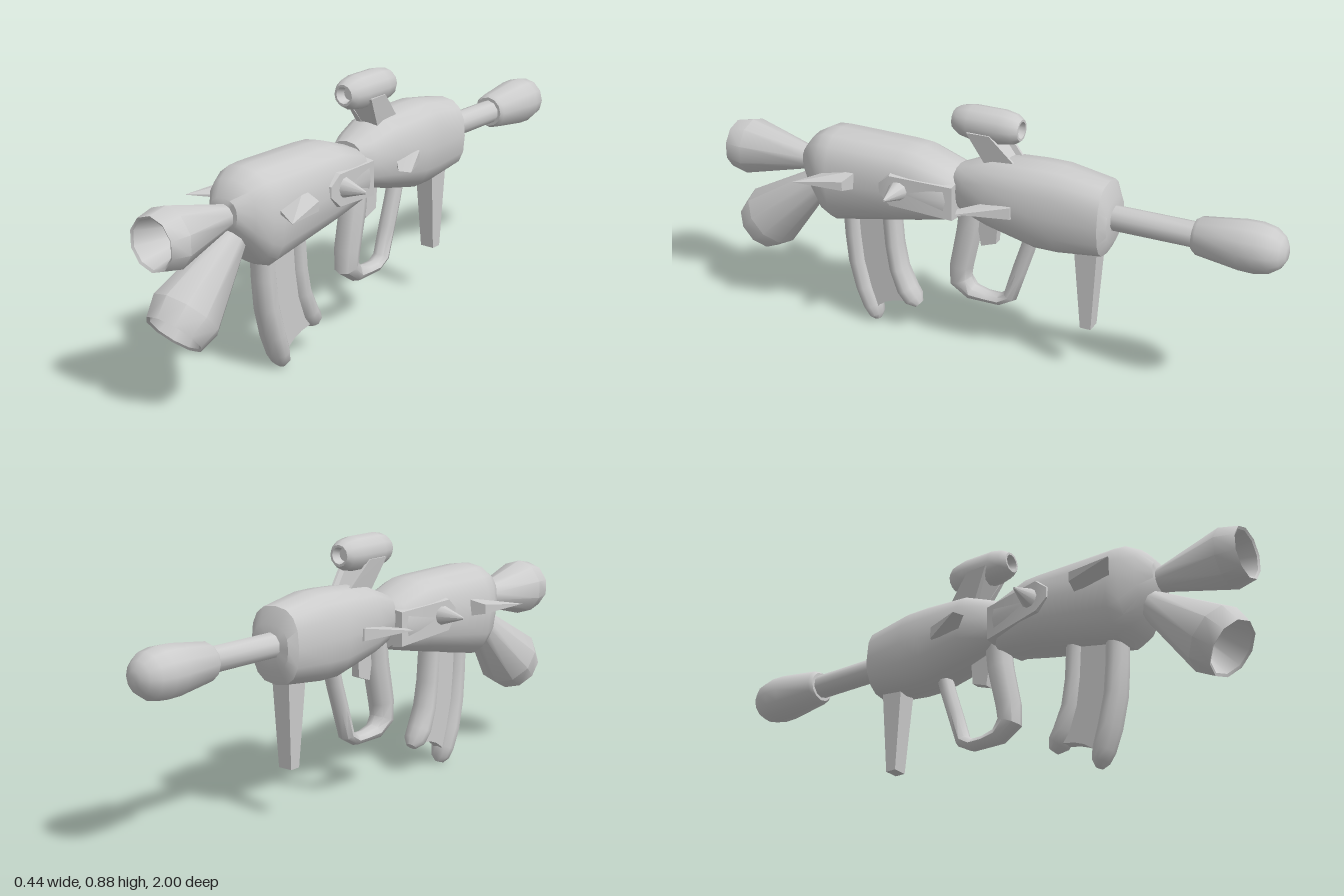
import * as THREE from 'three';
import { toCreasedNormals } from 'three/addons/utils/BufferGeometryUtils.js';
import { ConvexGeometry } from 'three/addons/geometries/ConvexGeometry.js';

const grey = new THREE.MeshStandardMaterial({ color: 0xcccccc });
grey.name = 'light grey';

export function createModel() {
  const model = new THREE.Group();
  model.name = 'toyBlaster';

  function add(name, geometry, crease = 0.7) {
    const mesh = new THREE.Mesh(toCreasedNormals(geometry, crease), grey);
    mesh.name = name;
    model.add(mesh);
    return mesh;
  }

  // Sweeps rounded sections [z, y, halfWidth, halfHeight] along a path in the side plane.
  // power < 1 makes the section boxier; dir fixes the section direction as [z, y].
  function sweep(name, stations, { dir = null, sides = 10, power = 1, crease = 0.7 } = {}) {
    const pos = [], idx = [], last = stations.length - 1;
    const bend = (v) => Math.sign(v) * Math.pow(Math.abs(v), power);
    stations.forEach(([z, y, w, h], i) => {
      const a = stations[Math.max(i - 1, 0)], b = stations[Math.min(i + 1, last)];
      let [tz, ty] = dir || [b[0] - a[0], b[1] - a[1]];
      const l = Math.hypot(tz, ty);
      tz /= l; ty /= l;
      for (let j = 0; j < sides; j++) {
        const t = Math.PI / 2 + (j / sides) * Math.PI * 2;
        const u = w * bend(Math.cos(t)), v = h * bend(Math.sin(t));
        pos.push(u, y + v * tz, z - v * ty);
      }
    });
    for (let i = 0; i < last; i++) for (let j = 0; j < sides; j++) {
      const k = (j + 1) % sides;
      const a = i * sides + j, b = i * sides + k, c = b + sides, d = a + sides;
      idx.push(a, b, c, a, c, d);
    }
    const n = stations.length * sides, e = last * sides;
    pos.push(0, stations[0][1], stations[0][0], 0, stations[last][1], stations[last][0]);
    for (let j = 0; j < sides; j++) {
      const k = (j + 1) % sides;
      idx.push(n, k, j, n + 1, e + j, e + k);
    }
    const g = new THREE.BufferGeometry();
    g.setAttribute('position', new THREE.Float32BufferAttribute(pos, 3));
    g.setIndex(idx);
    return add(name, g, crease);
  }

  // Round part on a straight axis: profile of [distance, radius].
  function turned(name, z, y, dir, profile, sides = 10) {
    const st = profile.map(([d, r]) => [z + dir[0] * d, y + dir[1] * d, r, r]);
    return sweep(name, st, { dir, sides });
  }

  // Body shell from [z, bottom, top, halfWidth].
  function shell(name, rows) {
    const st = rows.map(([z, b, t, w]) => [z, (b + t) / 2, w, (t - b) / 2]);
    return sweep(name, st, { dir: [1, 0], sides: 16, power: 0.78 });
  }

  // Convex solid, repeated on both sides.
  function mirrored(name, points) {
    for (const s of [1, -1]) {
      const pts = points.map(([x, y, z]) => new THREE.Vector3(x * s, y, z));
      add((s > 0 ? 'left' : 'right') + name, new ConvexGeometry(pts), 0.3);
    }
  }

  // Main bodies
  shell('rearBody', [
    [0.10, 0.49, 0.645, 0.085], [0.13, 0.478, 0.665, 0.11], [0.25, 0.452, 0.708, 0.125],
    [0.31, 0.44, 0.712, 0.128], [0.57, 0.387, 0.716, 0.128], [0.61, 0.41, 0.713, 0.122],
    [0.66, 0.48, 0.685, 0.095], [0.70, 0.54, 0.635, 0.055],
  ]);
  shell('frontBody', [
    [-0.435, 0.51, 0.655, 0.075], [-0.412, 0.458, 0.71, 0.1], [-0.26, 0.442, 0.735, 0.115],
    [-0.18, 0.442, 0.735, 0.117], [-0.02, 0.48, 0.725, 0.112], [0.07, 0.508, 0.69, 0.09],
    [0.115, 0.525, 0.672, 0.065],
  ]);

  // Barrel and rounded muzzle
  turned('barrel', 0, 0.588, [-1, 0], [[0.4, 0.042], [0.73, 0.042]]);
  turned('muzzle', 0, 0.588, [-1, 0], [
    [0.705, 0.053], [0.718, 0.062], [0.86, 0.081], [0.91, 0.082], [0.955, 0.073], [0.985, 0.052], [1, 0.025],
  ], 12);

  // Hollow rear nozzles
  turned('upperNozzle', 0, 0.578, [1, 0], [
    [0.66, 0.035], [0.71, 0.042], [0.935, 0.1], [1, 0.086], [0.995, 0.078], [0.76, 0.03],
  ]);
  turned('lowerNozzle', 0.62, 0.54, [0.757, -0.653], [
    [0, 0.04], [0.04, 0.044], [0.335, 0.114], [0.405, 0.096], [0.4, 0.087], [0.15, 0.03],
  ]);

  // Scope with a recessed lens at each end
  turned('scope', 0, 0.827, [1, 0], [
    [-0.075, 0.022], [-0.105, 0.028], [-0.105, 0.036], [-0.085, 0.05], [-0.04, 0.058],
    [0.07, 0.058], [0.11, 0.05], [0.132, 0.036], [0.132, 0.028], [0.1, 0.022],
  ], 12);

  // Flared scope cradle
  mirrored('ScopeCradle', [
    [0.062, 0.81, 0.065], [0.052, 0.81, 0.065], [0.058, 0.81, -0.015], [0.048, 0.81, -0.015],
    [0.04, 0.69, 0.0], [0.015, 0.69, 0.0], [0.036, 0.70, -0.115], [0.028, 0.70, -0.115],
  ]);
  mirrored('ScopePost', [
    [0, 0.79, 0.05], [0.045, 0.79, 0.05], [0, 0.79, -0.01], [0.045, 0.79, -0.01],
    [0, 0.69, 0.0], [0.032, 0.69, 0.0], [0, 0.69, -0.1], [0.032, 0.69, -0.1],
  ]);

  // Rear grip: two curved bars with a web between them
  sweep('rearGripBack', [
    [0.535, 0.43, 0.044, 0.035], [0.53, 0.33, 0.045, 0.036], [0.52, 0.23, 0.047, 0.036],
    [0.495, 0.13, 0.05, 0.035], [0.47, 0.06, 0.045, 0.034], [0.457, 0.025, 0.036, 0.026],
    [0.452, 0.006, 0.016, 0.012],
  ], { crease: 0.9 });
  sweep('rearGripFront', [
    [0.385, 0.46, 0.042, 0.032], [0.375, 0.32, 0.043, 0.032], [0.36, 0.23, 0.045, 0.033],
    [0.33, 0.155, 0.047, 0.036], [0.305, 0.12, 0.042, 0.034], [0.285, 0.1, 0.02, 0.016],
  ], { crease: 0.9 });
  const web = new THREE.Shape();
  web.moveTo(-0.53, 0.42);
  web.lineTo(-0.52, 0.23);
  web.lineTo(-0.455, 0.045);
  web.quadraticCurveTo(-0.425, 0.1, -0.33, 0.11);
  web.lineTo(-0.36, 0.24);
  web.lineTo(-0.38, 0.45);
  const webGeo = new THREE.ExtrudeGeometry(web, { depth: 0.04, bevelEnabled: false, curveSegments: 4 });
  webGeo.translate(0, 0, -0.02).rotateY(Math.PI / 2);
  add('rearGripWeb', webGeo);

  // Trigger handle loop, thick behind and slim in front
  sweep('triggerHandle', [
    [0.075, 0.53, 0.045, 0.045], [0.085, 0.44, 0.045, 0.046], [0.115, 0.3, 0.045, 0.043],
    [0.118, 0.24, 0.042, 0.042], [0.075, 0.203, 0.036, 0.028], [0.02, 0.197, 0.03, 0.02],
    [-0.03, 0.197, 0.03, 0.02], [-0.068, 0.22, 0.03, 0.025], [-0.1, 0.32, 0.03, 0.026],
    [-0.13, 0.41, 0.03, 0.026], [-0.155, 0.5, 0.03, 0.026],
  ], { sides: 8, crease: 0.9 });

  // Trigger
  mirrored('Trigger', [
    [0, 0.53, 0.06], [0.015, 0.53, 0.06], [0, 0.53, -0.03], [0.015, 0.53, -0.03],
    [0, 0.39, 0.035], [0.015, 0.39, 0.035], [0, 0.41, -0.02], [0.015, 0.41, -0.02],
  ]);

  // Tapered foregrip
  const leg = [];
  for (const x of [-1, 1]) {
    for (const [y, z, w] of [[0.47, -0.31, 0.035], [0.47, -0.39, 0.035], [0.175, -0.335, 0.026], [0.175, -0.373, 0.026]]) {
      leg.push(new THREE.Vector3(x * w, y, z));
    }
  }
  add('foregrip', new ConvexGeometry(leg), 0.3);

  // Swept side fins
  mirrored('RearFin', [
    [0.1, 0.62, 0.45], [0.1, 0.553, 0.45], [0.1, 0.592, 0.57], [0.1, 0.578, 0.57],
    [0.178, 0.602, 0.47], [0.178, 0.57, 0.47], [0.218, 0.585, 0.64], [0.17, 0.585, 0.585],
  ]);
  mirrored('FrontFin', [
    [0.09, 0.61, -0.125], [0.09, 0.56, -0.125], [0.1, 0.595, -0.02], [0.1, 0.575, -0.02],
    [0.12, 0.606, -0.12], [0.12, 0.565, -0.12], [0.2, 0.585, 0.035], [0.16, 0.585, 0.048],
  ]);

  // Raised side panels with cone studs
  mirrored('SidePanel', [
    [0.1, 0.61, 0.365], [0.1, 0.565, 0.365], [0.1, 0.648, 0.32], [0.1, 0.522, 0.32],
    [0.132, 0.605, 0.355], [0.132, 0.57, 0.355], [0.135, 0.638, 0.315], [0.135, 0.532, 0.315],
    [0.06, 0.628, 0.1], [0.06, 0.5, 0.1], [0.1, 0.622, 0.1], [0.1, 0.505, 0.1],
  ]);
  for (const s of [1, -1]) {
    const cone = new THREE.CylinderGeometry(0.004, 0.038, 0.1, 10);
    cone.rotateZ(-s * Math.PI / 2).translate(s * 0.165, 0.587, 0.288);
    add((s > 0 ? 'left' : 'right') + 'Stud', cone);
  }

  return model;
}
